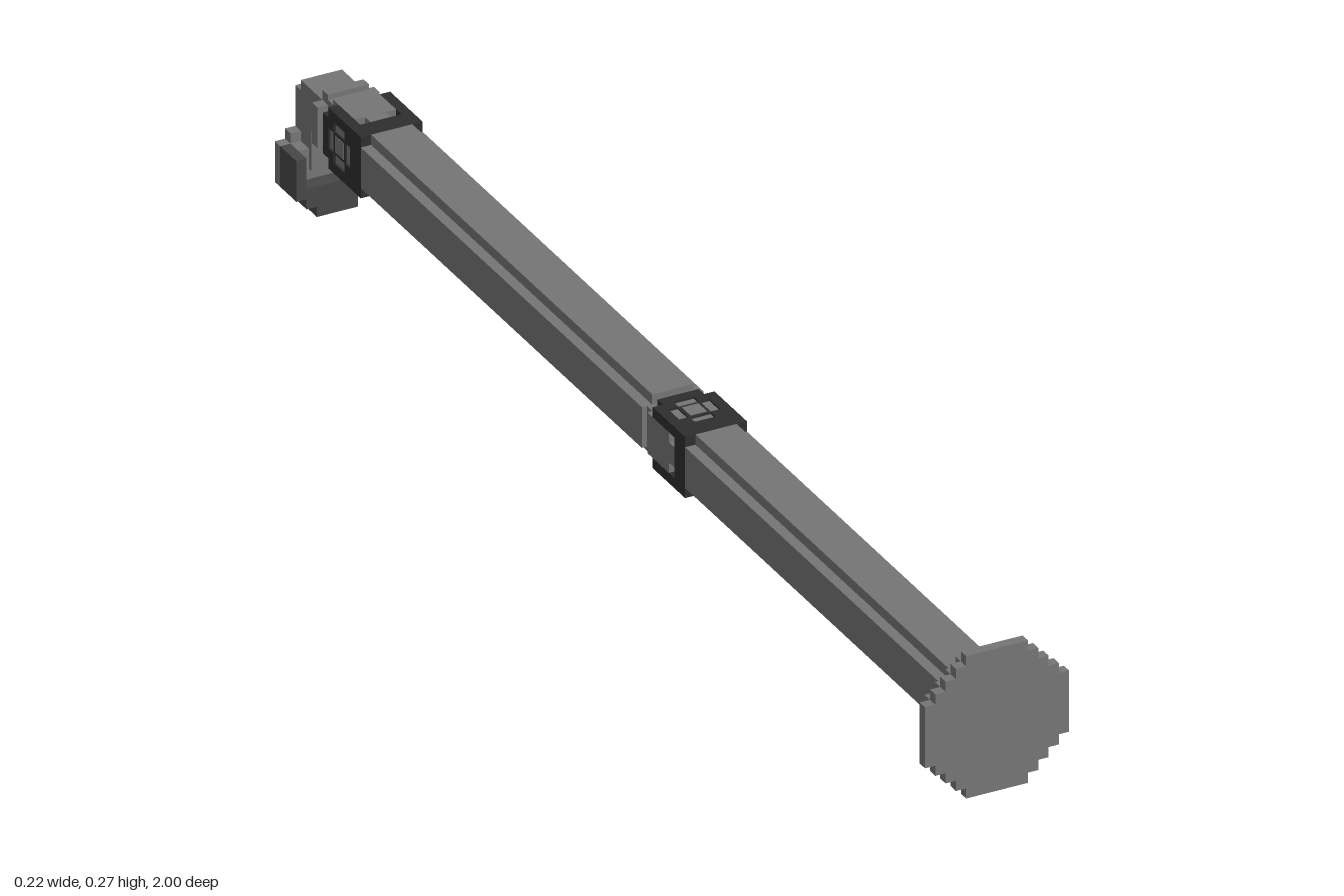
import * as THREE from 'three';

const V = 1 / 63; // one block step

export function createModel() {
  const mat = (name, color) => {
    const m = new THREE.MeshStandardMaterial({ color });
    m.name = name;
    return m;
  };
  const grey = mat('metal grey', 0x757575);
  const dark = mat('joint dark grey', 0x2e2e2e);
  const mid = mat('grip grey', 0x474747);

  // All parts are measured in block steps around the bar axis.
  const root = new THREE.Group();
  root.name = 'jointedArm';
  const body = new THREE.Group();
  body.name = 'armBody';
  body.scale.setScalar(V);
  body.position.y = 10 * V;
  root.add(body);

  const add = (parent, name, geo, m) => {
    const mesh = new THREE.Mesh(geo, m);
    mesh.name = name;
    parent.add(mesh);
    return mesh;
  };
  const box = (parent, name, m, x0, x1, y0, y1, z0, z1) => {
    const mesh = add(parent, name, new THREE.BoxGeometry(x1 - x0, y1 - y0, z1 - z0), m);
    mesh.position.set((x0 + x1) / 2, (y0 + y1) / 2, (z0 + z1) / 2);
    return mesh;
  };

  // Stair-stepped octagon outline: radius r, half-length f of the flat sides
  const outline = (r, f) => {
    const q = [];
    for (let i = 0; i < r - f; i++) q.push([r - i, f + i], [r - i - 1, f + i]);
    q.push([f, r]);
    const pts = [];
    for (let k = 0; k < 4; k++) {
      for (const [x, y] of q) {
        let p = [x, y];
        for (let j = 0; j < k; j++) p = [-p[1], p[0]];
        pts.push(new THREE.Vector2(p[0], p[1]));
      }
    }
    return pts;
  };
  const prism = (parent, name, m, r, f, z0, z1) => {
    const geo = new THREE.ExtrudeGeometry(new THREE.Shape(outline(r, f)), { depth: z1 - z0, bevelEnabled: false });
    geo.translate(0, 0, z0);
    return add(parent, name, geo, m);
  };

  // Round foot, stepping in towards the bar
  [[7, 3], [6, 3], [5, 2], [4, 2]].forEach(([r, f], i) =>
    prism(body, 'footLayer' + (i + 1), grey, r, f, 62 - i, 63 - i));

  // Two long bars with notched edges
  prism(body, 'frontBar', grey, 3, 2, 11, 59);
  prism(body, 'rearBar', grey, 3, 2, -49, 3);

  // Fork joint: dark fork, grey tongue and pivot pin
  const joint = (name, z, turn) => {
    const g = new THREE.Group();
    g.name = name;
    g.position.z = z;
    g.rotation.z = turn;
    body.add(g);
    box(g, 'forkBase', dark, -3, 3, -3, 3, 2, 4);
    box(g, 'tongue', grey, -3, 3, -2, 2, -3, 1);
    box(g, 'tongueTip', grey, -2.98, 2.98, -1, 1, 1, 2);
    box(g, 'tongueNeck', grey, -2.5, 2.5, -2, 2, -4, -3);
    for (const s of [-1, 1]) {
      const plate = new THREE.Shape([[-3, -4], [3, -4], [3, 2], [2, 2], [2, 3], [-2, 3], [-2, 2], [-3, 2]]
        .map(([x, y]) => new THREE.Vector2(x, y)));
      plate.holes.push(new THREE.Path(outline(2, 1).reverse()));
      const geo = new THREE.ExtrudeGeometry(plate, { depth: 1, bevelEnabled: false });
      geo.rotateX(-Math.PI / 2);
      const arm = add(g, 'forkArm', geo, dark);
      arm.position.y = s > 0 ? 2 : -3;
      const pin = prism(g, 'pivotPin', grey, 2, 1, -0.4, 0.4);
      pin.rotation.x = Math.PI / 2;
      pin.position.y = s * 2.4;
      box(g, 'pinRing', dark, -1.1, 1.1, s * 2.8 - 0.15, s * 2.8 + 0.15, -1.1, 1.1);
      box(g, 'pinCentre', grey, -0.8, 0.8, s * 2.85 - 0.15, s * 2.85 + 0.15, -0.8, 0.8);
    }
  };
  joint('middleJoint', 7, 0);
  joint('rearJoint', -53, Math.PI / 2);

  // Collar and elbow turning down at the rear
  prism(body, 'collar', grey, 3, 2, -58, -57);
  box(body, 'elbowNeck', grey, -2, 2, -2, 2, -62, -58);
  box(body, 'elbowDrop', grey, -2, 2, -6, 1, -63, -60);

  // Cupped end piece: grey disc behind, darker rim with raised sides
  const end = new THREE.Group();
  end.name = 'endCup';
  end.position.y = -6;
  body.add(end);
  prism(end, 'endDisc', grey, 4, 2, -63, -62);
  box(end, 'cupBottom', mid, -2, 2, -4, -3, -62, -59);
  box(end, 'cupLower', mid, -3, 3, -3, -1, -62, -59);
  for (const s of [-1, 1]) {
    box(end, 'cupSide', mid, s * 3.5 - 0.5, s * 3.5 + 0.5, -2, 2, -62, -59);
  }
  box(end, 'cupCore', grey, -3, 3, -1, 2, -62, -60.5);

  return root;
}
